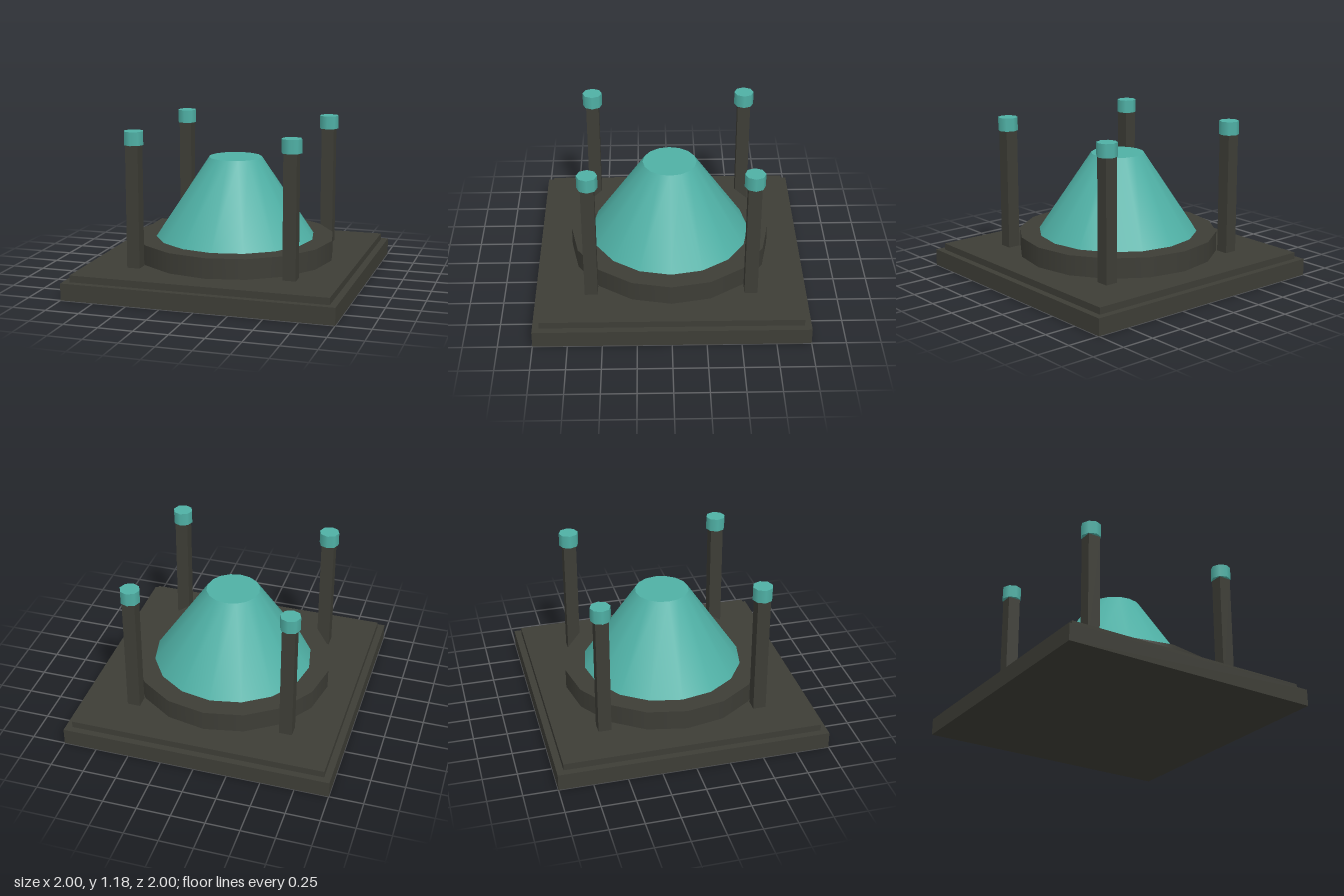
import * as THREE from 'three';

const darkStone = new THREE.MeshStandardMaterial({ color: 0x3d3d36 });
darkStone.name = 'dark stone';
const teal = new THREE.MeshStandardMaterial({ color: 0x4fb0a5 });
teal.name = 'teal';

// Adds a named mesh whose underside sits at height y
function add(parent, name, geometry, material, height, x, y, z) {
  const mesh = new THREE.Mesh(geometry, material);
  mesh.name = name;
  mesh.position.set(x, y + height / 2, z);
  parent.add(mesh);
}

export function createModel() {
  const model = new THREE.Group();
  model.name = 'pedestal';

  // Stepped square base
  add(model, 'baseSlab', new THREE.BoxGeometry(2, 0.125, 2), darkStone, 0.125, 0, 0, 0);
  add(model, 'basePlate', new THREE.BoxGeometry(1.9, 0.05, 1.9), darkStone, 0.05, 0, 0.125, 0);

  // Round plinth and truncated cone
  add(model, 'plinth', new THREE.CylinderGeometry(0.75, 0.75, 0.15, 16), darkStone, 0.15, 0, 0.175, 0);
  add(model, 'cone', new THREE.CylinderGeometry(0.2, 0.6, 0.6, 16), teal, 0.6, 0, 0.325, 0);

  // Four corner posts with round caps
  const postGeometry = new THREE.BoxGeometry(0.096, 0.905, 0.096);
  const capGeometry = new THREE.CylinderGeometry(0.074, 0.074, 0.1, 8);
  for (const sx of [-1, 1]) {
    for (const sz of [-1, 1]) {
      const corner = new THREE.Group();
      corner.name = (sz > 0 ? 'front' : 'back') + (sx > 0 ? 'Left' : 'Right') + 'Post';
      corner.position.set(sx * 0.585, 0, sz * 0.585);
      add(corner, 'post', postGeometry, darkStone, 0.905, 0, 0.175, 0);
      add(corner, 'cap', capGeometry, teal, 0.1, 0, 1.08, 0);
      model.add(corner);
    }
  }
  return model;
}
